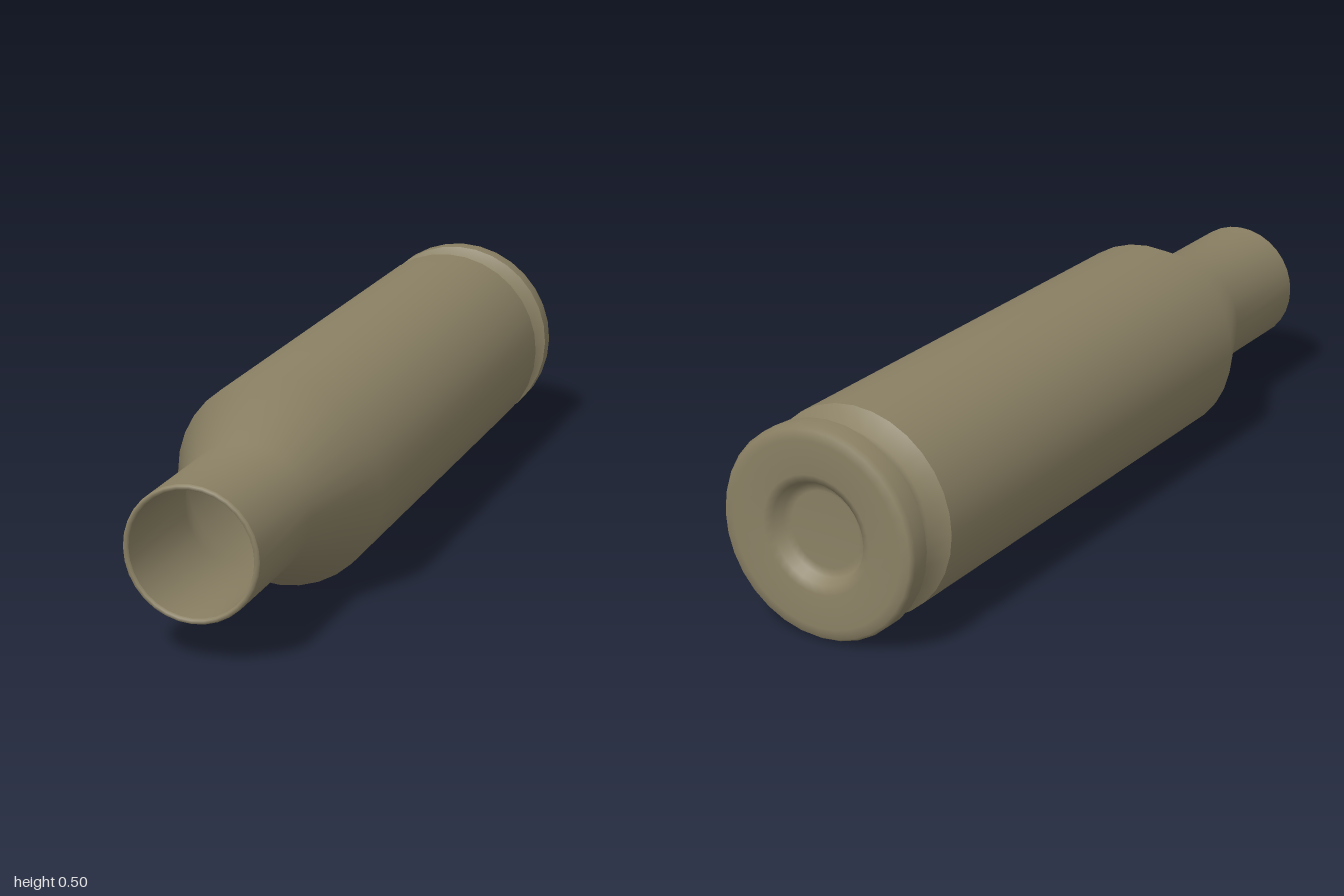
import * as THREE from 'three';

const SIDES = 32;
const CENTRE_Y = 0.253;

// Turns a profile of [radius, z] points around the long z axis.
function turned(name, profile, material) {
  const points = profile.map(([r, z]) => new THREE.Vector2(r, z));
  const geometry = new THREE.LatheGeometry(points, SIDES);
  geometry.rotateX(Math.PI / 2);
  const mesh = new THREE.Mesh(geometry, material);
  mesh.name = name;
  return mesh;
}

export function createModel() {
  const group = new THREE.Group();
  group.name = 'casing';
  const brass = new THREE.MeshStandardMaterial({ color: 0x8a8064 });
  brass.name = 'dull brass';

  // Base with a shallow round pocket, and the rim around it
  const base = [
    [0, -0.96], [0.09, -0.96], [0.11, -0.965], [0.12, -0.99],
    [0.14, -0.998], [0.22, -1], [0.243, -0.997], [0.251, -0.985], [0.251, -0.942],
  ];
  // Extractor groove
  const groove = [[0.251, -0.942], [0.212, -0.92], [0.212, -0.878], [0.251, -0.845]];
  // Long body, sloping shoulder and straight neck
  const body = [[0.251, -0.845], [0.251, 0.465], [0.157, 0.68], [0.157, 0.994]];
  // Rolled lip at the mouth
  const lip = [[0.157, 0.994], [0.154, 1], [0.147, 1], [0.144, 0.994]];
  // Hollow inside, following the outer wall down to a closed floor
  const inside = [[0.144, 0.994], [0.144, 0.68], [0.236, 0.46], [0.236, -0.8], [0.2, -0.84], [0, -0.84]];

  const parts = { base, groove, body, lip, inside };
  for (const [name, profile] of Object.entries(parts)) group.add(turned(name, profile, brass));

  group.position.y = CENTRE_Y;
  return group;
}
